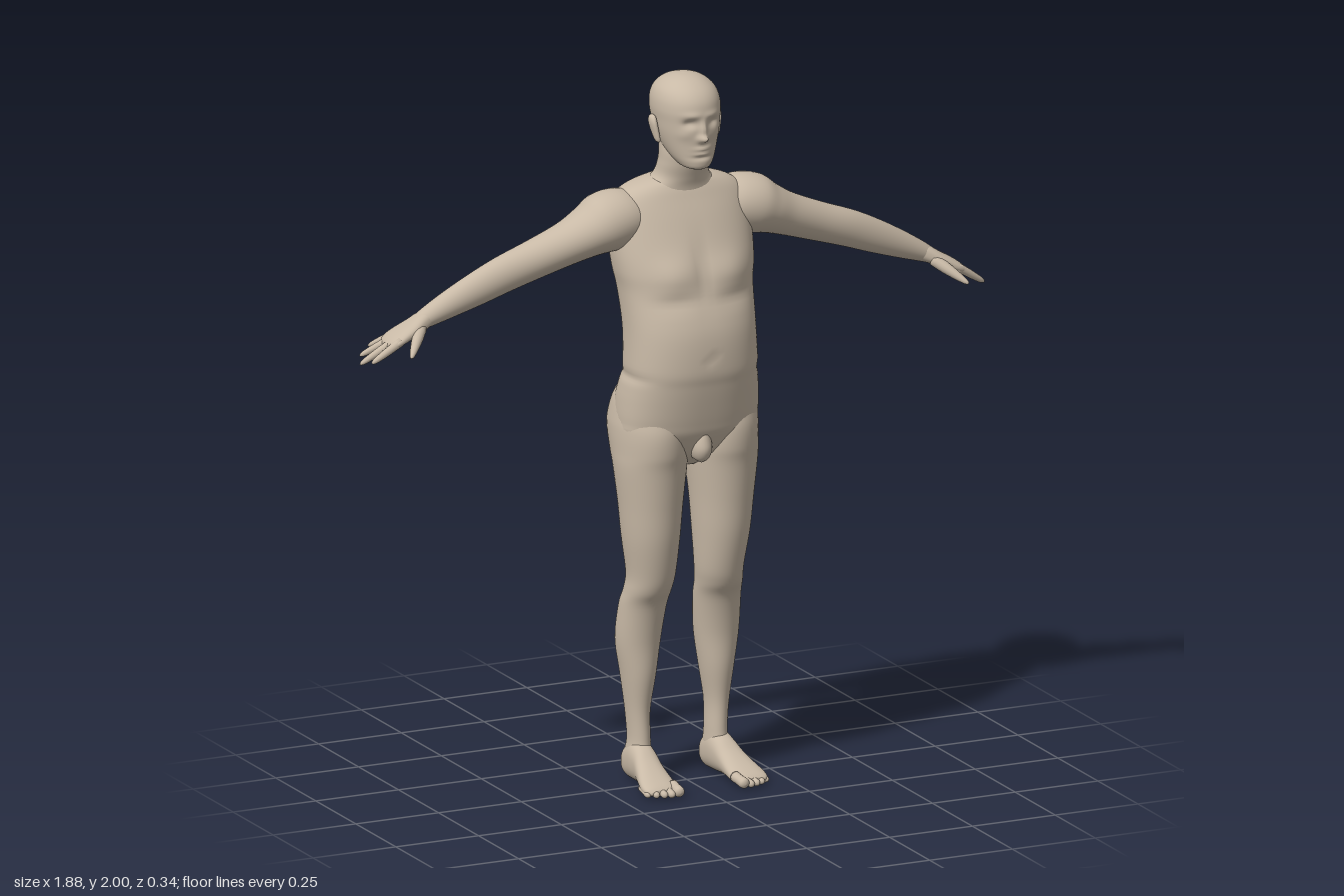
import * as THREE from 'three';

const skin = new THREE.MeshStandardMaterial({ color: 0xc8b9a6 });
skin.name = 'skin';

// Placement of a section point: t runs along the part, c is the section centre, u and v lie across it
const upright = (t, c, u, v) => new THREE.Vector3(c + u, t, v);
const forward = (t, c, u, v) => new THREE.Vector3(c + u, v, t);
const sideways = (angle) => (t, c, u, v) =>
  new THREE.Vector3(t + u * Math.sin(angle), c + u * Math.cos(angle), v);
const between = (a, b) => {
  const start = new THREE.Vector3(...a), dir = new THREE.Vector3(...b).sub(start);
  const turn = new THREE.Quaternion().setFromUnitVectors(new THREE.Vector3(0, 1, 0), dir.clone().normalize());
  return (t, c, u, v) => new THREE.Vector3(u, 0, v).applyQuaternion(turn).addScaledVector(dir, t).add(start);
};

// Soft push of nearby vertices, mirrored in x: [centre xyz, radii xyz, offset xyz]
function sculpt(p, bumps) {
  const q = p.clone(), s = Math.sign(p.x);
  for (const [x, y, z, rx, ry, rz, dx, dy, dz] of bumps) {
    const d = ((Math.abs(q.x) - x) / rx) ** 2 + ((q.y - y) / ry) ** 2 + ((q.z - z) / rz) ** 2;
    const w = Math.exp(-d);
    p.x += s * dx * w;
    p.y += dy * w;
    p.z += dz * w;
  }
}

// Smooth closed skin through sections [t, centre, halfWidth, vMax, vMin]
function loft(rows, place, { side = 1, seg = 40, sub = 6, power = 2, bumps = [] } = {}) {
  const spline = new THREE.CubicInterpolant(rows.map((_, i) => i), rows.flat(), 5);
  const rings = (rows.length - 1) * sub + 1, pts = [], index = [];
  const put = (p) => { sculpt(p, bumps); p.x *= side; pts.push(p); };
  const bend = (n) => Math.sign(n) * Math.abs(n) ** (2 / power);
  for (let i = 0; i < rings; i++) {
    const [t, c, w, hi, lo] = spline.evaluate(i / sub);
    for (let j = 0; j < seg; j++) {
      const a = (j / seg) * Math.PI * 2;
      put(place(t, c, w * bend(Math.cos(a)), (hi + lo) / 2 + (hi - lo) / 2 * bend(Math.sin(a))));
      if (i === 0) continue;
      const k = (j + 1) % seg, m = i * seg, n = m - seg;
      index.push(n + j, m + j, n + k, n + k, m + j, m + k);
    }
  }
  // End caps
  for (const [row, ring] of [[rows[0], 0], [rows.at(-1), (rings - 1) * seg]]) {
    put(place(row[0], row[1], 0, (row[3] + row[4]) / 2));
    for (let j = 0; j < seg; j++) {
      const a = ring + j, b = ring + (j + 1) % seg;
      index.push(pts.length - 1, ...(ring ? [b, a] : [a, b]));
    }
  }
  // Turn the faces outward
  let volume = 0;
  for (let i = 0; i < index.length; i += 3) {
    const [a, b, c] = [pts[index[i]], pts[index[i + 1]], pts[index[i + 2]]];
    volume += a.dot(b.clone().cross(c));
  }
  if (volume < 0) index.reverse();
  const geometry = new THREE.BufferGeometry().setFromPoints(pts);
  geometry.setIndex(index);
  geometry.computeVertexNormals();
  return geometry;
}

export function createModel() {
  const model = new THREE.Group();
  model.name = 'standingFigure';
  const add = (name, rows, place, options) => {
    const mesh = new THREE.Mesh(loft(rows, place, options), skin);
    mesh.name = name;
    model.add(mesh);
  };
  const addPair = (name, rows, place, options = {}) => {
    add('left' + name, rows, place, { ...options, side: 1 });
    add('right' + name, rows, place, { ...options, side: -1 });
  };
  // Tapered digit with a rounded tip
  const addDigit = (name, a, b, r, tip) => addPair(name,
    [[0, r], [0.35, r * 0.92], [0.6, (r + tip) / 2], [0.85, tip], [0.96, tip * 0.6], [1, 0.0008]]
      .map(([t, s]) => [t, 0, s, s, -s]), between(a, b), { seg: 14, sub: 3 });

  // Torso with chest, shoulder blades, spine groove and waist fold
  add('torso', [
    [0.90, 0, 0.02, 0.03, -0.04], [0.94, 0, 0.12, 0.08, -0.09], [1.0, 0, 0.195, 0.115, -0.125],
    [1.04, 0, 0.203, 0.128, -0.138], [1.1, 0, 0.2, 0.142, -0.143], [1.15, 0, 0.193, 0.152, -0.13],
    [1.2, 0, 0.188, 0.16, -0.12], [1.3, 0, 0.185, 0.155, -0.13], [1.4, 0, 0.19, 0.125, -0.15],
    [1.46, 0, 0.2, 0.11, -0.162], [1.52, 0, 0.205, 0.088, -0.167], [1.6, 0, 0.203, 0.055, -0.166],
    [1.65, 0, 0.19, 0.032, -0.155], [1.68, 0, 0.155, 0.018, -0.138], [1.7, 0, 0.1, 0.005, -0.115],
    [1.71, 0, 0.05, -0.02, -0.09],
  ], upright, {
    seg: 72, power: 2.3, bumps: [
      [0.085, 1.46, 0.1, 0.06, 0.05, 0.06, 0, 0, 0.012],
      [0, 1.47, 0.1, 0.02, 0.08, 0.06, 0, 0, -0.008],
      [0.09, 1.385, 0.12, 0.07, 0.018, 0.05, 0, 0, -0.006],
      [0.09, 1.52, -0.16, 0.055, 0.09, 0.06, 0, 0, -0.007],
      [0, 1.38, -0.15, 0.024, 0.22, 0.06, 0, 0, 0.014],
      [0, 1.05, -0.15, 0.02, 0.05, 0.05, 0, 0, 0.015],
      [0.19, 1.17, 0, 0.05, 0.014, 0.12, -0.006, 0, 0],
      [0, 1.225, 0.16, 0.012, 0.009, 0.03, 0, 0, -0.006],
    ],
  });
  add('groin', [
    [0.922, 0, 0.004, 0.095, 0.085], [0.935, 0, 0.022, 0.115, 0.05], [0.96, 0, 0.03, 0.126, 0.04],
    [0.99, 0, 0.027, 0.122, 0.04], [1.03, 0, 0.012, 0.11, 0.04],
  ], upright, { seg: 24 });

  // Neck and head
  add('neck', [
    [1.64, 0, 0.16, 0.02, -0.14], [1.68, 0, 0.115, 0.022, -0.13], [1.71, 0, 0.08, 0.03, -0.108],
    [1.75, 0, 0.071, 0.042, -0.09], [1.79, 0, 0.069, 0.045, -0.085], [1.85, 0, 0.065, 0.03, -0.09],
  ], upright);
  add('head', [
    [1.748, 0, 0.018, 0.085, 0.035], [1.755, 0, 0.038, 0.097, 0.005], [1.77, 0, 0.052, 0.101, -0.03],
    [1.79, 0, 0.064, 0.1, -0.06], [1.82, 0, 0.076, 0.1, -0.092], [1.85, 0, 0.084, 0.102, -0.113],
    [1.88, 0, 0.088, 0.104, -0.125], [1.91, 0, 0.091, 0.104, -0.13], [1.94, 0, 0.088, 0.097, -0.126],
    [1.965, 0, 0.077, 0.079, -0.11], [1.985, 0, 0.055, 0.05, -0.082], [1.996, 0, 0.029, 0.02, -0.046],
    [2.0, 0, 0.003, -0.01, -0.017],
  ], upright, {
    seg: 96, sub: 7, power: 2.1, bumps: [
      [0.034, 1.882, 0.095, 0.018, 0.012, 0.04, 0, 0, -0.012],
      [0.03, 1.905, 0.095, 0.025, 0.009, 0.04, 0, 0, 0.004],
      [0, 1.862, 0.1, 0.009, 0.024, 0.04, 0, 0, 0.014],
      [0, 1.84, 0.1, 0.013, 0.01, 0.04, 0, 0, 0.022],
      [0.05, 1.85, 0.08, 0.02, 0.015, 0.03, 0, 0, 0.003],
      [0, 1.81, 0.1, 0.022, 0.006, 0.04, 0, 0, 0.006],
      [0, 1.796, 0.1, 0.02, 0.005, 0.04, 0, 0, 0.006],
      [0, 1.785, 0.1, 0.025, 0.006, 0.04, 0, 0, -0.004],
    ],
  });
  addPair('Ear', [
    [1.815, 0.087, 0.002, 0.006, 0], [1.822, 0.089, 0.007, 0.013, -0.012], [1.845, 0.093, 0.009, 0.012, -0.026],
    [1.87, 0.097, 0.01, 0.008, -0.033], [1.885, 0.097, 0.008, 0, -0.03], [1.891, 0.096, 0.002, -0.01, -0.02],
  ], upright, { seg: 20, sub: 4 });

  // Arms
  addPair('Arm', [
    [0.10, 1.612, 0.06, 0.0, -0.13], [0.16, 1.605, 0.08, 0.026, -0.148], [0.22, 1.59, 0.084, 0.034, -0.148],
    [0.27, 1.57, 0.07, 0.024, -0.138], [0.33, 1.545, 0.06, 0.006, -0.126], [0.42, 1.512, 0.055, -0.012, -0.12],
    [0.52, 1.478, 0.052, -0.025, -0.112], [0.60, 1.445, 0.047, -0.035, -0.111], [0.68, 1.41, 0.038, -0.045, -0.113],
    [0.75, 1.378, 0.027, -0.054, -0.112], [0.80, 1.353, 0.016, -0.06, -0.11],
  ], sideways(0.4));

  // Hands
  addPair('Palm', [
    [0.73, 1.387, 0.02, -0.06, -0.106], [0.76, 1.373, 0.023, -0.05, -0.114], [0.79, 1.358, 0.02, -0.04, -0.122],
    [0.82, 1.343, 0.018, -0.035, -0.13], [0.845, 1.33, 0.015, -0.033, -0.133], [0.862, 1.32, 0.011, -0.04, -0.125],
    [0.872, 1.315, 0.003, -0.06, -0.1],
  ], sideways(0.5), { power: 2.4 });
  addDigit('Thumb', [0.775, 1.358, -0.06], [0.842, 1.302, 0.021], 0.017, 0.0085);
  addDigit('IndexFinger', [0.84, 1.333, -0.046], [0.925, 1.278, -0.055], 0.0125, 0.008);
  addDigit('MiddleFinger', [0.845, 1.33, -0.073], [0.942, 1.267, -0.095], 0.0125, 0.008);
  addDigit('RingFinger', [0.84, 1.33, -0.099], [0.923, 1.279, -0.136], 0.012, 0.0078);
  addDigit('LittleFinger', [0.825, 1.336, -0.118], [0.882, 1.294, -0.169], 0.011, 0.007);

  // Legs with buttocks, knees and calves
  addPair('Leg', [
    [1.15, 0.095, 0.07, 0.05, -0.1], [1.1, 0.101, 0.092, 0.09, -0.143], [1.04, 0.106, 0.1, 0.108, -0.167],
    [1.0, 0.107, 0.102, 0.114, -0.167], [0.95, 0.106, 0.102, 0.111, -0.148], [0.9, 0.107, 0.099, 0.101, -0.122],
    [0.8, 0.107, 0.088, 0.09, -0.105], [0.7, 0.106, 0.079, 0.08, -0.096], [0.6, 0.103, 0.068, 0.06, -0.086],
    [0.55, 0.107, 0.066, 0.044, -0.092], [0.5, 0.112, 0.067, 0.018, -0.108], [0.4, 0.118, 0.063, 0.0, -0.125],
    [0.3, 0.118, 0.048, -0.005, -0.12], [0.2, 0.119, 0.033, -0.018, -0.109], [0.12, 0.116, 0.03, -0.018, -0.105],
    [0.07, 0.118, 0.033, -0.015, -0.114], [0.03, 0.119, 0.028, -0.03, -0.115],
  ], upright, { seg: 48 });

  // Feet and toes
  addPair('Foot', [
    [-0.127, 0.118, 0.005, 0.05, 0.03], [-0.118, 0.118, 0.024, 0.075, 0.008], [-0.09, 0.118, 0.034, 0.1, 0],
    [-0.05, 0.119, 0.037, 0.115, 0], [-0.01, 0.121, 0.038, 0.102, 0.002], [0.03, 0.126, 0.042, 0.076, 0.004],
    [0.07, 0.131, 0.048, 0.055, 0.002], [0.1, 0.134, 0.051, 0.042, 0], [0.125, 0.135, 0.048, 0.031, 0.002],
    [0.138, 0.135, 0.035, 0.022, 0.006],
  ], forward, { power: 2.3 });
  for (let i = 0; i < 5; i++) {
    const x = 0.099 + i * 0.0195 - (i ? 0 : 0.002), tip = 0.167 - 0.002 * i * i, r = i ? 0.0112 - i * 0.0005 : 0.0155;
    addDigit('Toe' + (i + 1), [x - 0.003, r + 0.008, tip - 0.06], [x + 0.002, r, tip], r, r * 0.95);
  }
  return model;
}
